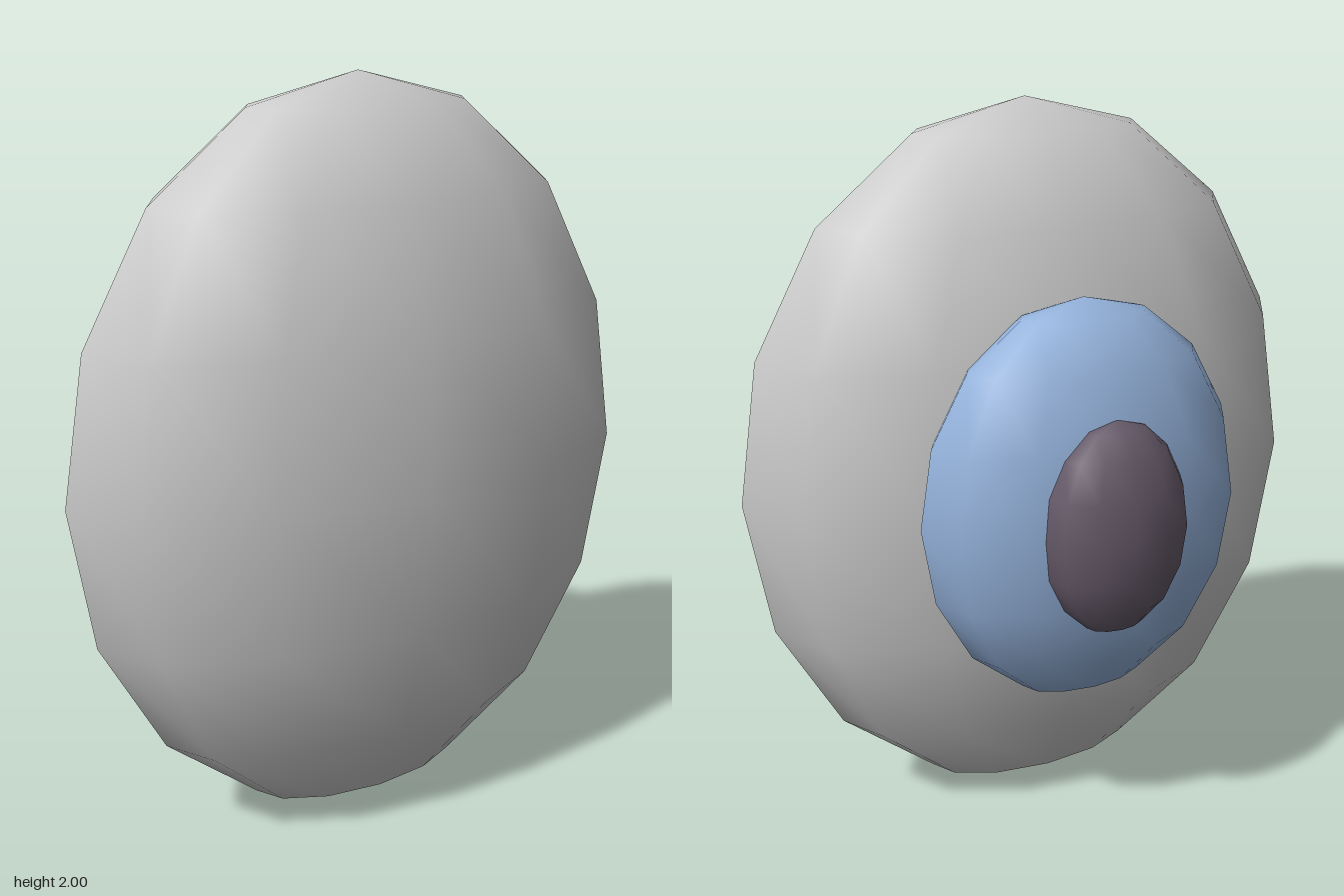
import * as THREE from 'three';

// Smooth low-poly ellipsoid with its poles on the y axis
function ellipsoid(name, material, [rx, ry, rz], z) {
  const geometry = new THREE.SphereGeometry(1, 12, 8);
  geometry.scale(rx, ry, rz);
  const mesh = new THREE.Mesh(geometry, material);
  mesh.name = name;
  mesh.position.set(0, 1, z);
  return mesh;
}

function material(name, color) {
  const m = new THREE.MeshStandardMaterial({ color });
  m.name = name;
  return m;
}

export function createModel() {
  const group = new THREE.Group();
  group.name = 'eye';

  // Flattened eyeball, with iris and pupil nested into its back
  group.add(
    ellipsoid('eyeball', material('light grey', 0xcccccc), [0.815, 1, 0.375], 0.142),
    ellipsoid('iris', material('soft blue', 0x95b3dc), [0.45, 0.553, 0.225], -0.207),
    ellipsoid('pupil', material('dark mauve', 0x665a69), [0.2, 0.288, 0.12], -0.398),
  );
  return group;
}
